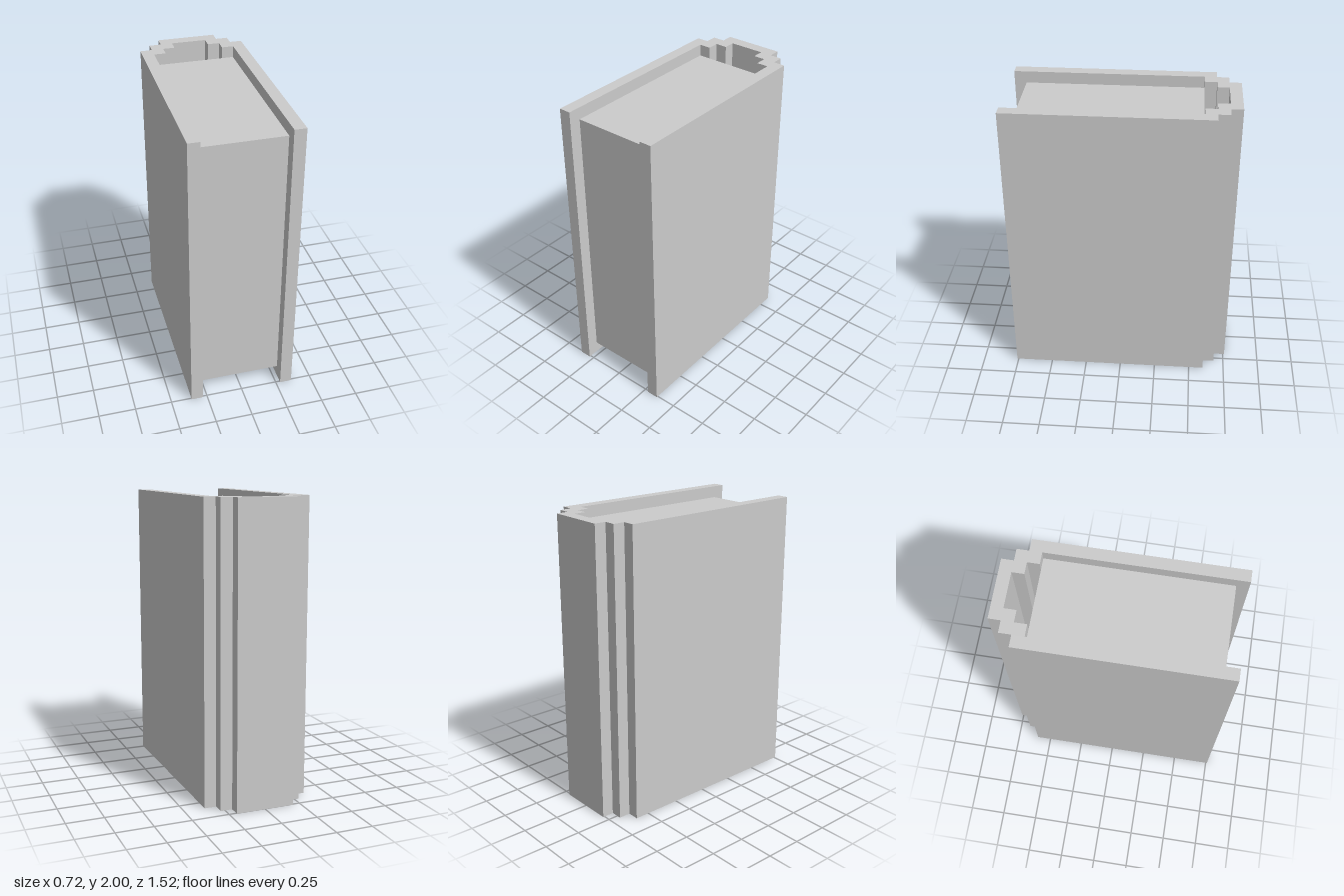
import * as THREE from 'three';

const HEIGHT = 2;
const BOARD = 0.08; // thickness of the cover, and its overhang past the pages

export function createModel() {
  const book = new THREE.Group();
  book.name = 'book';
  const material = new THREE.MeshStandardMaterial({ color: 0xcccccc, flatShading: true });

  // Cover: stepped U-shaped plan, half outlines as [x, distance to the back]
  const outer = [[0.36, -0.76], [0.36, 0.6], [0.28, 0.6], [0.28, 0.68], [0.2, 0.68], [0.2, 0.76]];
  const inner = [[0.28, -0.76], [0.28, 0.52], [0.2, 0.52], [0.2, 0.6], [0.12, 0.6], [0.12, 0.68]];
  const mirror = (points) => points.map(([x, d]) => [-x, d]);
  const outline = [
    ...outer, ...mirror(outer).reverse(),
    ...mirror(inner), ...[...inner].reverse(),
  ].map(([x, d]) => new THREE.Vector2(x, d));

  const coverGeometry = new THREE.ExtrudeGeometry(new THREE.Shape(outline), {
    depth: HEIGHT, bevelEnabled: false,
  });
  coverGeometry.rotateX(-Math.PI / 2); // stand the plan upright, back towards -z
  const cover = new THREE.Mesh(coverGeometry, material);
  cover.name = 'cover';
  book.add(cover);

  // Page block, set in from the cover at top, bottom and front
  const front = 0.76 - BOARD, back = -0.52;
  const pages = new THREE.Mesh(
    new THREE.BoxGeometry(0.56, HEIGHT - 2 * BOARD, front - back), material);
  pages.position.set(0, HEIGHT / 2, (front + back) / 2);
  pages.name = 'pages';
  book.add(pages);

  return book;
}
